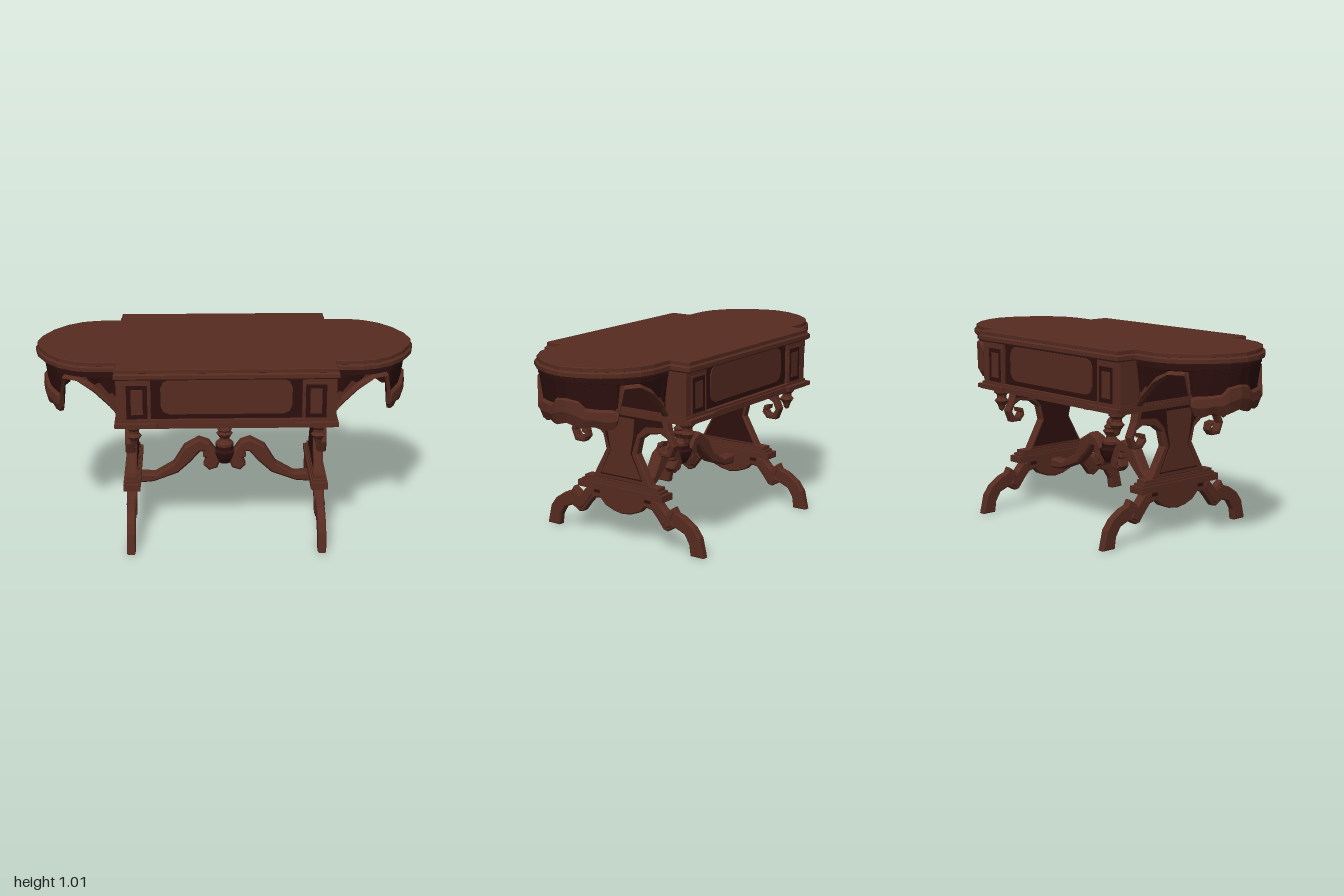
import * as THREE from 'three';

const wood = new THREE.MeshStandardMaterial({ color: 0x562b20, flatShading: true, side: THREE.DoubleSide });
wood.name = 'mahogany';
const dark = new THREE.MeshStandardMaterial({ color: 0x2d100e, flatShading: true, side: THREE.DoubleSide });
dark.name = 'dark mahogany';

const mirrorPts = (half) => [...half, ...half.slice().reverse().filter(p => p[0] !== 0).map(([a, b]) => [-a, b])];
const shapeOf = (pts) => new THREE.Shape(pts.map(p => new THREE.Vector2(p[0], p[1])));

function add(parent, name, geo, mat, x = 0, y = 0, z = 0) {
  const m = new THREE.Mesh(geo, mat);
  m.name = name;
  m.position.set(x, y, z);
  parent.add(m);
  return m;
}
const box = (parent, name, mat, w, h, d, x, y, z) =>
  add(parent, name, new THREE.BoxGeometry(w, h, d), mat, x, y, z);

// Slab centred on its own thickness, with a small bevel
function slab(pts, depth, bevel = 0) {
  const g = new THREE.ExtrudeGeometry(shapeOf(pts), {
    depth: depth - 2 * bevel, bevelEnabled: bevel > 0, bevelSize: bevel, bevelOffset: -bevel,
    bevelThickness: bevel, bevelSegments: 1,
  });
  return g.translate(0, 0, -depth / 2 + bevel);
}
// Outline given as (z, y), thickness along x
const sideSlab = (pts, depth, bevel) => slab(pts, depth, bevel).rotateY(-Math.PI / 2);

const lathe = (pts, n = 8) => new THREE.LatheGeometry(pts.map(p => new THREE.Vector2(p[0], p[1])), n);

// Table top outline with rounded ends, pulled in by d
function topOutline(d) {
  const q = [[0.57, 0.465], [0.57, 0.35], [0.7, 0.35], [0.78, 0.33], [0.86, 0.28], [0.93, 0.2], [0.98, 0.1], [1, 0]]
    .map(([x, z]) => [x - d, Math.max(0, z - d)]);
  const right = [...q, ...q.slice(0, -1).reverse().map(([x, z]) => [x, -z])];
  return [...right, ...right.map(([x, z]) => [-x, -z])];
}

// Curved skirt: closed cross-sections following the rounded end, dark on the top band and inside
function skirtGeometry() {
  // x, z, bottom, ridge
  const half = [
    [0.56, 0.32, 0.71, 0.73], [0.6, 0.32, 0.76, 0.79], [0.68, 0.32, 0.84, 0.87], [0.76, 0.305, 0.895, 0.91],
    [0.835, 0.265, 0.895, 0.91], [0.857, 0.245, 0.73, 0.77], [0.867, 0.225, 0.7, 0.785], [0.89, 0.18, 0.695, 0.785],
    [0.91, 0.14, 0.71, 0.785], [0.928, 0.1, 0.7, 0.79], [0.94, 0.07, 0.7, 0.825], [0.952, 0, 0.72, 0.835],
  ];
  const path = [...half, ...half.slice(0, -1).reverse().map(([x, z, b, r]) => [x, -z, b, r])];
  const pos = [], idx = [], n = 8;
  path.forEach(([x, z, b, r], i) => {
    const p = path[Math.max(0, i - 1)], q = path[Math.min(path.length - 1, i + 1)];
    const len = Math.hypot(q[0] - p[0], q[1] - p[1]);
    const nx = (p[1] - q[1]) / len, nz = (q[0] - p[0]) / len;
    const section = [[0.955, 0.01], [0.925, 0.01], [0.918, -0.008], [r + 0.012, -0.012], [r, 0.008],
      [(r + b) / 2, 0.014], [b, -0.002], [b, -0.022]];
    section.forEach(([y, o]) => pos.push(x + nx * o, y, z + nz * o));
  });
  for (const j of [7, 0, 1, 2, 3, 4, 5, 6]) for (let i = 0; i < path.length - 1; i++) {
    const a = i * n + j, b = i * n + (j + 1) % n, c = a + n, d = b + n;
    idx.push(a, b, c, b, d, c);
  }
  const g = new THREE.BufferGeometry();
  g.setAttribute('position', new THREE.Float32BufferAttribute(pos, 3));
  g.setIndex(idx);
  const split = 3 * 6 * (path.length - 1);
  g.addGroup(0, split, 1);
  g.addGroup(split, idx.length - split, 0);
  g.computeVertexNormals();
  return g;
}

function frame(w, h, t, depth) {
  const s = shapeOf([[-w / 2, -h / 2], [w / 2, -h / 2], [w / 2, h / 2], [-w / 2, h / 2]]);
  const a = w / 2 - t, b = h / 2 - t;
  s.holes.push(new THREE.Path([[-a, -b], [-a, b], [a, b], [a, -b]].map(p => new THREE.Vector2(...p))));
  return new THREE.ExtrudeGeometry(s, { depth, bevelEnabled: false });
}

function roundedPanel(w, h, r, depth) {
  const a = w / 2, b = h / 2;
  return slab([[-a + r, -b], [a - r, -b], [a - r * 0.3, -b + r * 0.3], [a, -b + r], [a, b - r], [a - r * 0.3, b - r * 0.3],
    [a - r, b], [-a + r, b], [-a + r * 0.3, b - r * 0.3], [-a, b - r], [-a, -b + r], [-a + r * 0.3, -b + r * 0.3]], depth);
}

// One long face of the apron, facing +z
function apronFace() {
  const g = new THREE.Group();
  g.name = 'apronFace';
  box(g, 'panelGround', dark, 0.77, 0.225, 0.006, 0, 0.843, 0.419);
  add(g, 'longPanel', roundedPanel(0.67, 0.185, 0.045, 0.009), wood, 0, 0.85, 0.423);
  for (const s of [-1, 1]) {
    box(g, 'cornerBlock', wood, 0.175, 0.24, 0.05, s * 0.4725, 0.835, 0.412);
    add(g, 'blockFrame', frame(0.125, 0.2, 0.009, 0.006), wood, s * 0.455, 0.828, 0.436);
    box(g, 'blockRecess', dark, 0.107, 0.182, 0.003, s * 0.455, 0.828, 0.437);
    box(g, 'blockPanel', wood, 0.06, 0.135, 0.006, s * 0.455, 0.828, 0.439);
    box(g, 'blockMoulding', wood, 0.22, 0.022, 0.03, s * 0.46, 0.709, 0.457);
    add(g, 'dropFinial', lathe([[0, 0.565], [0.014, 0.575], [0.022, 0.6], [0.04, 0.625], [0.026, 0.64], [0.026, 0.655],
      [0.042, 0.67], [0.042, 0.68], [0.03, 0.7]]), wood, s * 0.475, 0, 0.383);
  }
  return g;
}

// Pedestal, base bar and splayed feet at the +x end
function endSupport() {
  const g = new THREE.Group();
  g.name = 'endSupport';
  const pedestal = [[0, 0.7], [0.285, 0.7], [0.3, 0.63], [0.335, 0.555], [0.31, 0.493], [0.25, 0.493], [0.222, 0.525],
    [0.232, 0.562], [0.268, 0.57], [0.262, 0.545], [0.245, 0.54], [0.26, 0.52], [0.29, 0.52], [0.308, 0.55],
    [0.29, 0.59], [0.25, 0.61], [0.17, 0.595], [0.12, 0.56], [0.1, 0.48], [0.19, 0.32], [0, 0.32]];
  add(g, 'scrolledPedestal', sideSlab(mirrorPts(pedestal), 0.05, 0.006), wood, 0.5);
  // Raised panel faces outward; the inner face stays dark
  const ground = [[0, 0.695], [0.255, 0.695], [0.27, 0.645], [0.16, 0.635], [0.105, 0.585], [0.07, 0.48], [0.137, 0.342], [0, 0.342]];
  add(g, 'pedestalGround', sideSlab(mirrorPts(ground), 0.003), dark, 0.5255);
  const panel = [[0, 0.665], [0.09, 0.665], [0.082, 0.57], [0.064, 0.48], [0.13, 0.35], [0, 0.35]];
  add(g, 'pedestalPanel', sideSlab(mirrorPts(panel), 0.008), wood, 0.5255);
  const inner = [[0, 0.695], [0.27, 0.695], [0.285, 0.63], [0.16, 0.612], [0.108, 0.565], [0.088, 0.48], [0.165, 0.335], [0, 0.335]];
  add(g, 'pedestalInnerFace', sideSlab(mirrorPts(inner), 0.004), dark, 0.4745);
  for (const s of [-1, 1]) box(g, 'capMoulding', dark, 0.02, 0.02, 0.52, 0.5 + s * 0.03, 0.686, 0);
  box(g, 'baseBar', wood, 0.09, 0.035, 0.55, 0.5, 0.273, 0);
  box(g, 'baseBarUpper', wood, 0.072, 0.015, 0.51, 0.5, 0.296, 0);
  box(g, 'baseBarCap', wood, 0.06, 0.018, 0.48, 0.5, 0.312, 0);

  const feet = [[0, 0.26], [0.24, 0.26], [0.245, 0.235], [0.285, 0.205], [0.33, 0.237], [0.348, 0.207], [0.39, 0.193],
    [0.453, 0.152], [0.49, 0.102], [0.514, 0], [0.434, 0], [0.425, 0.06], [0.395, 0.108], [0.34, 0.13],
    [0.293, 0.103], [0.265, 0.108], [0.224, 0.16], [0.19, 0.197], [0.15, 0.205], [0.113, 0.17], [0.06, 0.15], [0, 0.14]];
  add(g, 'splayedFeet', sideSlab(mirrorPts(feet), 0.044, 0.006), wood, 0.5);
  const knee = [[0.2, 0.25], [0.235, 0.25], [0.285, 0.195], [0.33, 0.215], [0.315, 0.165], [0.33, 0.14], [0.29, 0.12], [0.265, 0.13], [0.2, 0.21]];
  for (const s of [-1, 1]) {
    add(g, 'kneeCarving', sideSlab(knee.map(([z, y]) => [s * z, y]), 0.054, 0.006), wood, 0.5);
    box(g, 'barShadowMoulding', dark, 0.05, 0.025, 0.04, 0.5, 0.243, s * 0.165);
  }
  return g;
}

// Scrolled half of the stretcher on the +x side
function stretcherArm() {
  const arm = [[0.5, 0.19], [0.39, 0.2], [0.257, 0.25], [0.187, 0.315], [0.135, 0.375], [0.11, 0.375], [0.118, 0.345],
    [0.1, 0.335], [0.115, 0.295], [0.085, 0.265], [0.04, 0.28], [0.025, 0.32], [0.05, 0.38], [0.085, 0.43],
    [0.14, 0.45], [0.22, 0.405], [0.28, 0.305], [0.38, 0.245], [0.5, 0.25]];
  const g = new THREE.Group();
  g.name = 'stretcherArm';
  add(g, 'scrolledArm', slab(arm, 0.07, 0.01), wood);
  add(g, 'scrollEye', new THREE.CylinderGeometry(0.022, 0.022, 0.085, 8).rotateX(Math.PI / 2), wood, 0.075, 0.318, 0);
  return g;
}

export function createModel() {
  const model = new THREE.Group();
  model.name = 'libraryTable';

  // Top in two moulded tiers over a dark underside
  add(model, 'topLowerTier', slab(topOutline(0), 0.036, 0.008).rotateX(Math.PI / 2), wood, 0, 0.971, 0);
  add(model, 'topUpperTier', slab(topOutline(0.009), 0.025, 0.004).rotateX(Math.PI / 2), wood, 0, 0.998, 0);
  add(model, 'topUnderside', slab(topOutline(0.02), 0.006).rotateX(Math.PI / 2), dark, 0, 0.953, 0);

  // Apron
  box(model, 'apronBody', wood, 1.12, 0.25, 0.832, 0, 0.832, 0);
  box(model, 'apronMoulding', wood, 1.14, 0.03, 0.91, 0, 0.705, 0);
  box(model, 'apronMouldingUpper', wood, 1.13, 0.012, 0.89, 0, 0.725, 0);

  // Both long faces, both ends
  for (const s of [1, -1]) {
    const face = apronFace();
    face.scale.z = s;
    const end = new THREE.Group();
    end.name = s > 0 ? 'leftEnd' : 'rightEnd';
    add(end, 'carvedSkirt', skirtGeometry(), [wood, dark]);
    box(end, 'apronEndRecess', dark, 0.006, 0.215, 0.62, 0.562, 0.842, 0);
    end.add(endSupport(), stretcherArm());
    end.scale.x = s;
    model.add(face, end);
  }

  // Urn finial in the middle of the stretcher, on a dark base
  add(model, 'urnBase', lathe([[0, 0.3], [0.035, 0.305], [0.055, 0.34], [0.065, 0.375], [0.05, 0.385], [0.05, 0.405]]), dark);
  add(model, 'urnFinial', lathe([[0.05, 0.405], [0.05, 0.42],
    [0.035, 0.43], [0.026, 0.445], [0.032, 0.455], [0.046, 0.475], [0.034, 0.487], [0.04, 0.497], [0.024, 0.515],
    [0.026, 0.525], [0.014, 0.545], [0, 0.555]]), wood);
  return model;
}
